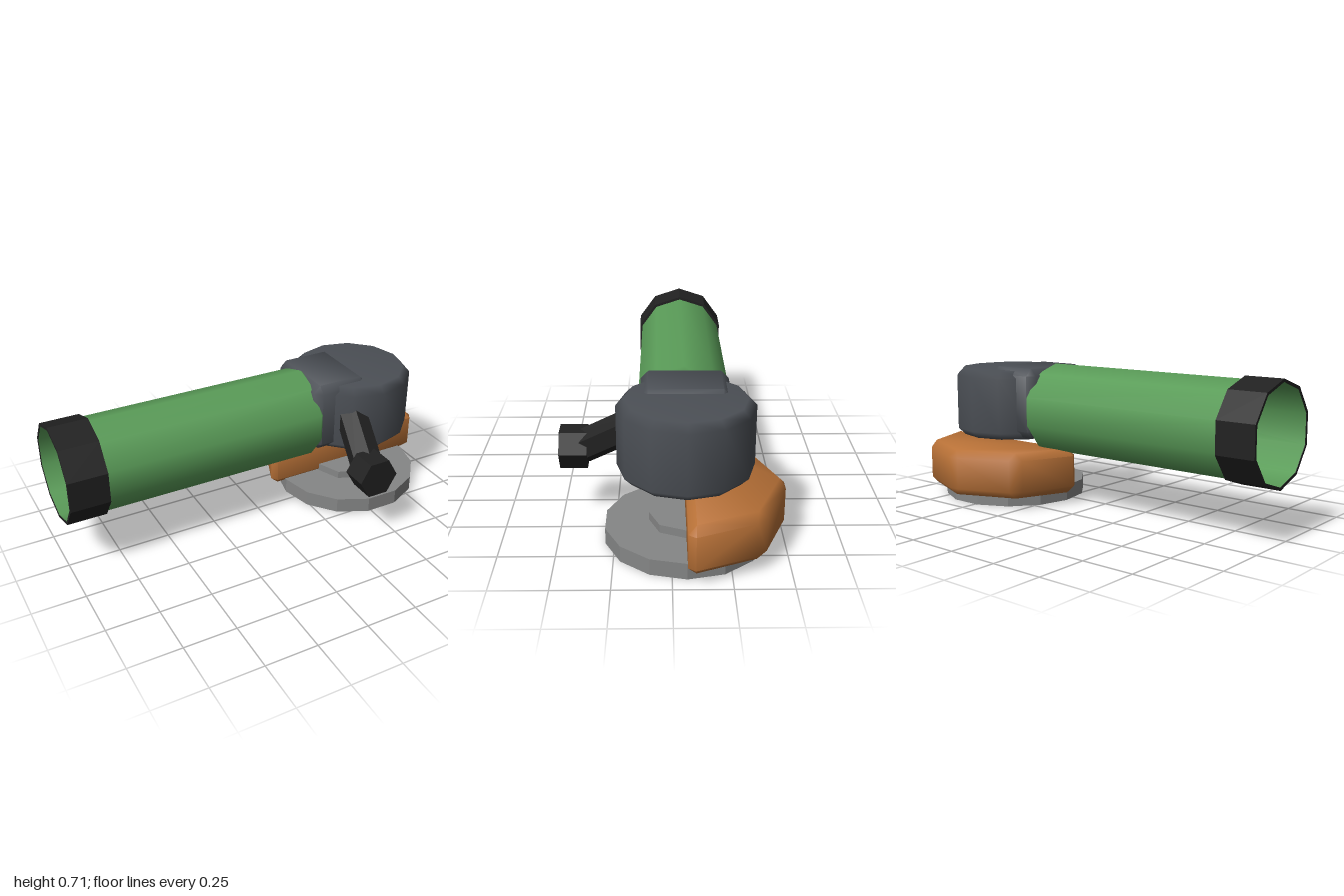
import * as THREE from 'three';
import { toCreasedNormals } from 'three/addons/utils/BufferGeometryUtils.js';
import { ConvexGeometry } from 'three/addons/geometries/ConvexGeometry.js';

const CX = 0.565, CZ = -0.063; // pivot axis of the mount
const TUBE_Y = 0.47;

function material(name, color, side = THREE.FrontSide) {
  const m = new THREE.MeshStandardMaterial({ color, side });
  m.name = name;
  return m;
}

function flat(geometry) {
  const g = geometry.index ? geometry.toNonIndexed() : geometry;
  g.computeVertexNormals();
  return g;
}

// Convex prism over an (x, z) outline with every edge chamfered by b
function chamferedPrism(outline, y0, y1, b) {
  const points = [];
  const n = outline.length;
  outline.forEach((v, i) => {
    const toPrev = outline[(i + n - 1) % n].clone().sub(v).normalize();
    const toNext = outline[(i + 1) % n].clone().sub(v).normalize();
    const sine = Math.abs(toPrev.cross(toNext));
    const inset = v.clone().addScaledVector(toPrev, b / sine).addScaledVector(toNext, b / sine);
    for (const y of [y0, y1]) points.push(new THREE.Vector3(inset.x, y, inset.y));
    for (const d of [toPrev, toNext]) {
      const p = v.clone().addScaledVector(d, b);
      for (const y of [y0 + b, y1 - b]) points.push(new THREE.Vector3(p.x, y, p.y));
    }
  });
  return toCreasedNormals(new ConvexGeometry(points), Math.PI / 3);
}

function lathe(profile, sides, start = 0) {
  return new THREE.LatheGeometry(profile.map(([r, y]) => new THREE.Vector2(r, y)), sides, start);
}

// Lathe turned so that its axis runs along x, with a corner on top
function latheAlongX(profile, sides) {
  return lathe(profile, sides, Math.PI / 2).rotateZ(-Math.PI / 2).translate(0, TUBE_Y, CZ);
}

export function createModel() {
  const group = new THREE.Group();
  const green = material('green tube', 0x5a9c58, THREE.DoubleSide);
  const slate = material('dark slate', 0x4b4f55);
  const orange = material('orange', 0xb87137);
  const grey = material('grey', 0x858686);
  const black = material('black', 0x212121);

  function add(name, geometry, mat) {
    const mesh = new THREE.Mesh(geometry, mat);
    mesh.name = name;
    group.add(mesh);
    return mesh;
  }

  // Foot disc and the small hub on it
  const disc = new THREE.CylinderGeometry(0.3625, 0.3625, 0.075, 14).rotateY(Math.PI / 2);
  add('footDisc', flat(disc.translate(CX, 0.0375, CZ)), grey);
  const hub = new THREE.CylinderGeometry(0.163, 0.163, 0.063, 8);
  add('hub', flat(hub.translate(CX, 0.0815, CZ)), grey);

  // Half-octagon bracket at the back
  const half = [];
  for (let i = 0; i <= 4; i++) {
    const a = (i * Math.PI) / 4;
    half.push(new THREE.Vector2(CX + 0.449 * Math.cos(a), CZ - 0.449 * Math.sin(a)));
  }
  add('bracket', chamferedPrism(half, 0.052, 0.277, 0.035), orange);

  // Round head with chamfered rims
  const head = lathe([[0, 0.317], [0.265, 0.317], [0.3, 0.352], [0.3, 0.625], [0.265, 0.66], [0, 0.66]], 12);
  add('head', head.translate(CX, 0, CZ), slate);

  // Block joining the head to the tube
  const rect = [[0.25, -0.198], [0.545, -0.198], [0.545, 0.198], [0.25, 0.198]]
    .map(([x, z]) => new THREE.Vector2(x, CZ + z));
  add('tubeClamp', chamferedPrism(rect, 0.33, 0.676, 0.035), slate);

  // Tube, open at its far end, and the collar around the opening
  add('tube', latheAlongX([[0.222, -0.998], [0.222, 0.27], [0.195, 0.297], [0, 0.297]], 10), green);
  const collar = [[0.2225, -1], [0.236, -1], [0.236, -0.815], [0.2225, -0.815], [0.2225, -1]];
  add('collar', flat(latheAlongX(collar, 10)), black);

  // Slanted hexagonal arm with a hexagonal end piece
  const from = new THREE.Vector3(0.465, 0.54, 0.07);
  const to = new THREE.Vector3(0.379, 0.345, 0.405);
  const arm = new THREE.CylinderGeometry(0.078, 0.078, from.distanceTo(to), 6).rotateX(Math.PI / 2);
  const armMesh = add('arm', flat(arm), black);
  armMesh.position.copy(from).lerp(to, 0.5);
  armMesh.lookAt(to);
  const end = new THREE.CylinderGeometry(0.1, 0.1, 0.125, 6).rotateX(Math.PI / 2).rotateZ(Math.PI / 2);
  add('armEnd', flat(end.translate(0.375, 0.347, 0.4375)), black);

  return group;
}
